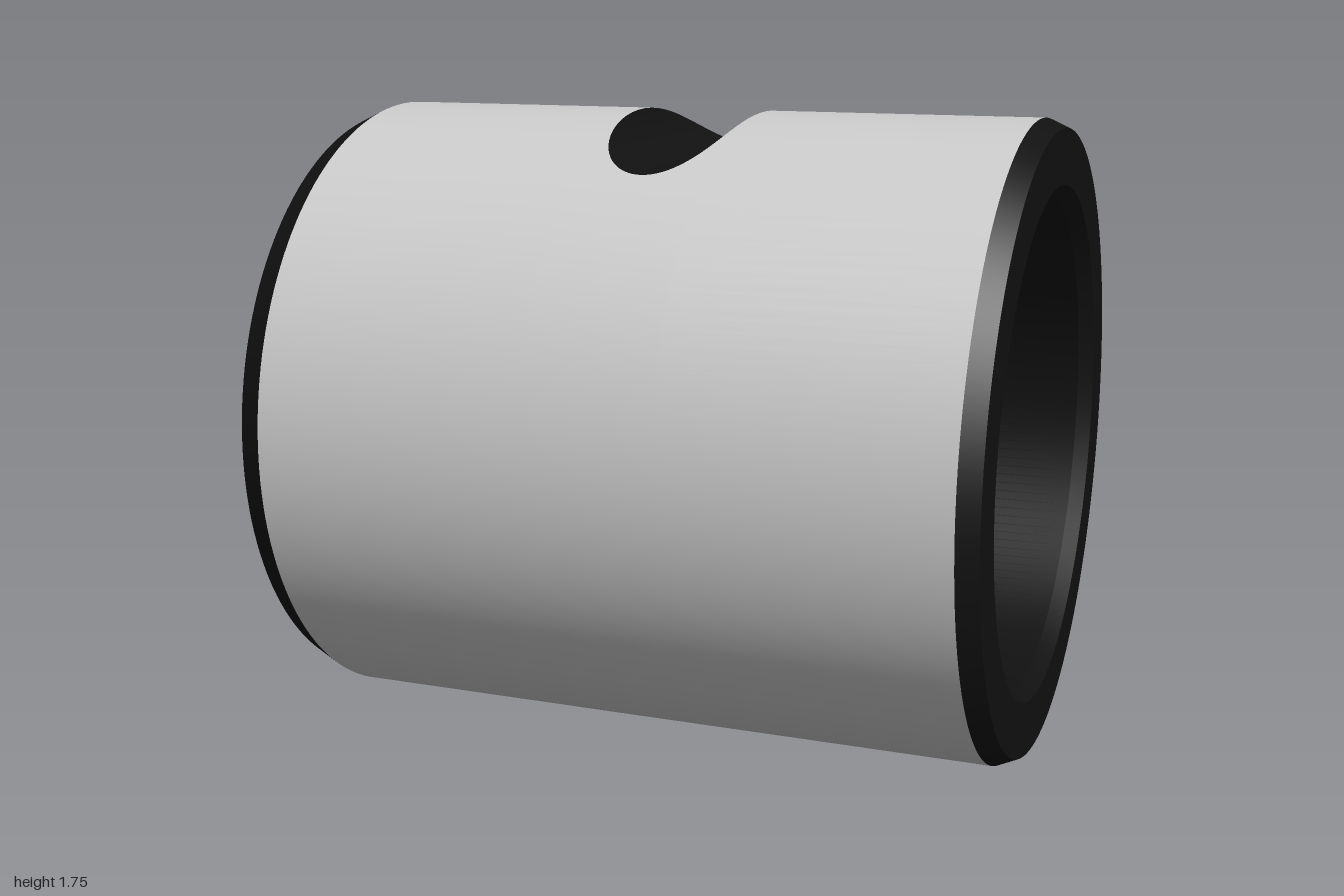
import * as THREE from 'three';

const R = 0.875;                       // outer radius, also height of the axis
const SLOT_R = 0.187, SLOT_Y = 1.8;    // cross groove: radius and height of its axis
const SLOT_X = Math.sqrt(SLOT_R ** 2 - (SLOT_Y - 2 * R) ** 2); // half width at the top

// Height of the groove floor at x
const floorY = x => SLOT_Y - Math.sqrt(Math.max(0, SLOT_R ** 2 - x * x));
// Angle from the top of the tube to the groove rim at x
const rimAngle = x => Math.abs(x) >= SLOT_X ? 0 : Math.acos(Math.min(1, (floorY(x) - R) / R));

// Grid surface: rows follow xs, columns follow v in 0..1; at(x, v) returns [point, normal]
function gridSurface(xs, cols, at) {
  const pos = [], nor = [], idx = [];
  xs.forEach((x, i) => {
    for (let j = 0; j <= cols; j++) {
      const [p, n] = at(x, j / cols);
      pos.push(...p);
      nor.push(...n);
      if (i && j) {
        const d = i * (cols + 1) + j, c = d - 1, b = d - cols - 1, a = b - 1;
        idx.push(a, b, c, b, d, c);
      }
    }
  });
  const g = new THREE.BufferGeometry();
  g.setAttribute('position', new THREE.Float32BufferAttribute(pos, 3));
  g.setAttribute('normal', new THREE.Float32BufferAttribute(nor, 3));
  g.setIndex(idx);
  return g;
}

export function createModel() {
  const group = new THREE.Group();
  const grey = new THREE.MeshStandardMaterial({ color: 0xcccccc });
  const black = new THREE.MeshStandardMaterial({ color: 0x111111 });
  const add = (name, geometry, material) => {
    const mesh = new THREE.Mesh(geometry, material);
    mesh.name = name;
    group.add(mesh);
    return mesh;
  };

  // Stations across the groove, denser towards its sides
  const slotXs = [];
  for (let i = 0; i <= 48; i++) slotXs.push(-SLOT_X * Math.cos(Math.PI * i / 48));

  // Outer wall, open where the groove cuts it
  add('outerWall', gridSurface([-0.93, ...slotXs, 0.945], 160, (x, v) => {
    const a0 = rimAngle(x), a = a0 + v * 2 * (Math.PI - a0);
    const c = Math.cos(a), s = Math.sin(a);
    return [[x, R + R * c, R * s], [0, c, s]];
  }), grey);

  // Concave groove across the top
  add('crossGroove', gridSurface(slotXs, 12, (x, v) => {
    const z = R * Math.sin(rimAngle(x)) * (2 * v - 1), y = floorY(x);
    return [[x, y, z], [0 - x / SLOT_R, (SLOT_Y - y) / SLOT_R, 0]];
  }), black);

  // Chamfers, end faces and bore: [name, radius, x, radius, x]
  const rings = [
    ['leftOuterChamfer', R, 0.945, 0.85, 1],
    ['leftEndFace', 0.85, 1, 0.7, 1],
    ['leftInnerChamfer', 0.7, 1, 0.667, 0.96],
    ['bore', 0.667, 0.96, 0.667, -0.96],
    ['rightInnerChamfer', 0.667, -0.96, 0.7, -1],
    ['rightEndFace', 0.7, -1, 0.843, -1],
    ['rightOuterChamfer', 0.843, -1, R, -0.93],
  ];
  for (const [name, r1, x1, r2, x2] of rings) {
    const profile = [new THREE.Vector2(r1, x1), new THREE.Vector2(r2, x2)];
    const ring = add(name, new THREE.LatheGeometry(profile, 160), black);
    ring.rotation.z = -Math.PI / 2;
    ring.position.y = R;
  }
  return group;
}
